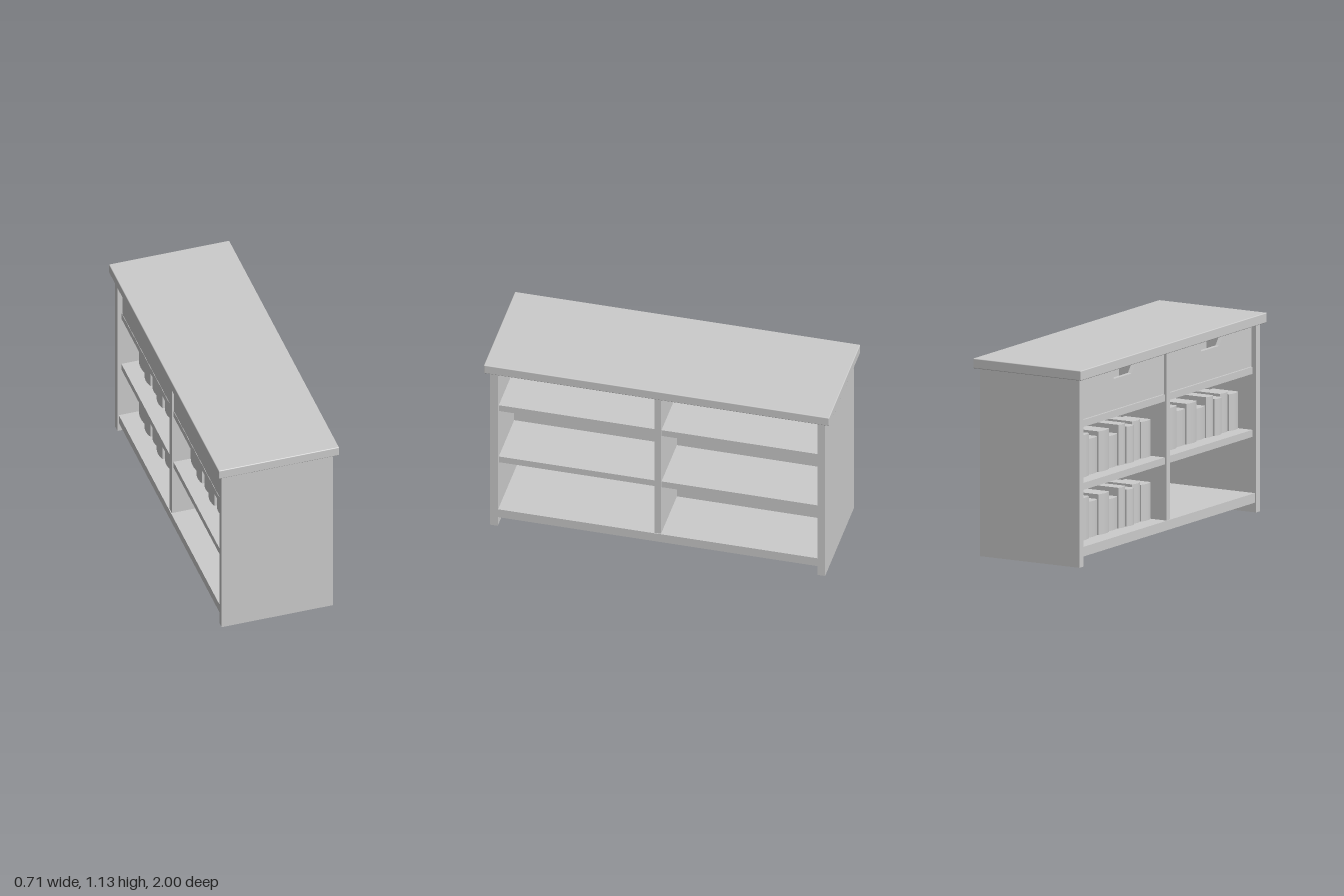
import * as THREE from 'three';
import { RoundedBoxGeometry } from 'three/addons/geometries/RoundedBoxGeometry.js';

const material = new THREE.MeshStandardMaterial({ color: 0xcccccc });

export function createModel() {
  const model = new THREE.Group();
  model.name = 'shelvingUnit';

  // Box given by its lower and upper limits on each axis
  function board(name, [x0, x1], [y0, y1], [z0, z1], parent = model) {
    const mesh = new THREE.Mesh(new THREE.BoxGeometry(x1 - x0, y1 - y0, z1 - z0), material);
    mesh.position.set((x0 + x1) / 2, (y0 + y1) / 2, (z0 + z1) / 2);
    mesh.name = name;
    parent.add(mesh);
    return mesh;
  }

  // Worktop with slightly softened edges
  const top = new THREE.Mesh(new RoundedBoxGeometry(0.71, 0.057, 2, 2, 0.005), material);
  top.position.y = 1.1045;
  top.name = 'worktop';
  model.add(top);

  // Carcass
  board('endPanel', [-0.328, 0.328], [0, 1.076], [0.925, 0.97]);
  board('endPanel', [-0.328, 0.328], [0, 1.076], [-0.97, -0.925]);
  board('bottomShelf', [-0.32, 0.32], [0.055, 0.11], [-0.925, 0.925]);
  board('divider', [-0.315, 0.315], [0.11, 1.076], [-0.017, 0.022]);
  for (const y of [0.43, 0.79]) {
    board('shelf', [-0.305, 0.305], [y, y + 0.04], [0.022, 0.925]);
    board('shelf', [-0.305, 0.305], [y, y + 0.04], [-0.925, -0.017]);
  }

  // Drawer: notched front and back, plain sides and bottom
  function drawer(zMid) {
    const group = new THREE.Group();
    group.name = 'drawer';
    const half = 0.439, height = 0.225, wall = 0.025, depth = 0.305;
    const shape = new THREE.Shape([
      [-half, 0], [half, 0], [half, height], [0.135, height], [0.095, height - 0.05],
      [-0.095, height - 0.05], [-0.135, height], [-half, height],
    ].map(([x, y]) => new THREE.Vector2(x, y)));
    const panel = new THREE.ExtrudeGeometry(shape, { depth: wall, bevelEnabled: false });
    panel.rotateY(Math.PI / 2);
    for (const [name, x] of [['drawerFront', 0], ['drawerBack', depth - wall]]) {
      const mesh = new THREE.Mesh(panel, material);
      mesh.position.x = x;
      mesh.name = name;
      group.add(mesh);
    }
    const inner = [wall, depth - wall];
    board('drawerSide', inner, [0, height], [-half, -half + wall], group);
    board('drawerSide', inner, [0, height], [half - wall, half], group);
    board('drawerBottom', inner, [0, 0.02], [-half + wall, half - wall], group);
    group.position.set(-0.305, 0.835, zMid);
    model.add(group);
  }
  drawer(0.473);
  drawer(-0.467);

  // Books: start along the row, height, setback of the spine
  const books = [
    [0, 0.21, 0.004], [0.1, 0.226, 0.012], [0.185, 0.21, 0], [0.262, 0.232, 0.01],
    [0.335, 0.183, 0.018], [0.447, 0.232, 0.004], [0.556, 0.205, 0.014],
    [0.664, 0.242, 0.002], [0.772, 0.212, 0.012], [0.905],
  ];

  // Row of books standing on a shelf, spines towards -x
  function bookRow(y, zStart) {
    const row = new THREE.Group();
    row.name = 'bookRow';
    for (let i = 0; i < books.length - 1; i++) {
      const [start, height, setback] = books[i];
      const end = books[i + 1][0];
      const front = -0.215 + setback;
      const plan = new THREE.Shape();
      plan.moveTo(front, start);
      plan.lineTo(-0.045, start);
      plan.lineTo(-0.045, end);
      plan.lineTo(front, end);
      plan.quadraticCurveTo(front - 0.02, (start + end) / 2, front, start);
      const geometry = new THREE.ExtrudeGeometry(plan, { depth: height, bevelEnabled: false, curveSegments: 8 });
      geometry.rotateX(-Math.PI / 2);
      const book = new THREE.Mesh(geometry, material);
      book.name = 'book';
      row.add(book);
    }
    row.position.set(0, y, zStart);
    model.add(row);
  }
  bookRow(0.11, -0.018);
  bookRow(0.47, -0.018);
  bookRow(0.47, 0.925);

  return model;
}
